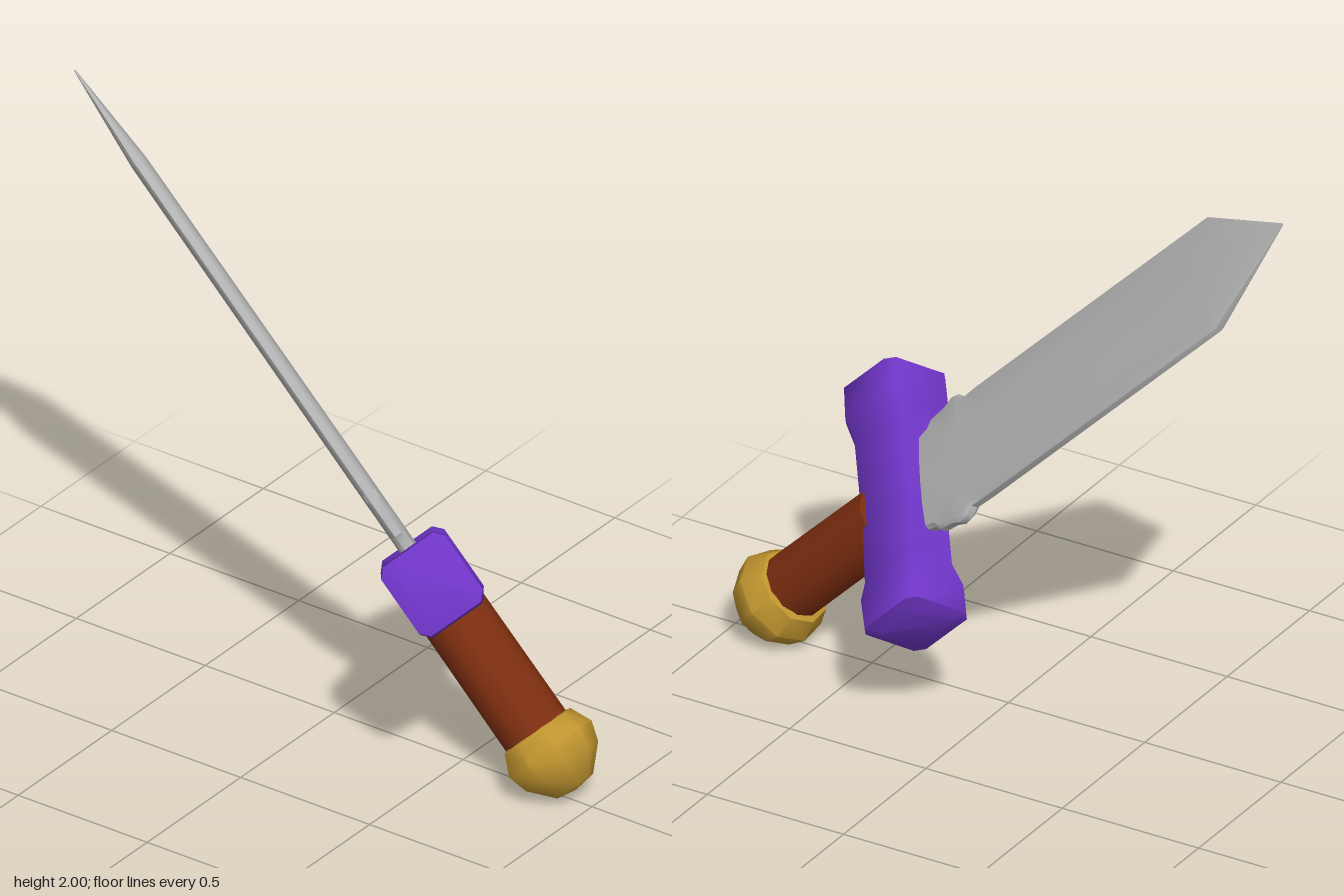
import * as THREE from 'three';
import { toCreasedNormals, mergeVertices } from 'three/addons/utils/BufferGeometryUtils.js';

// Skin a list of equal-length rings and close both ends with flat fans.
function loft(rings, crease) {
  const n = rings[0].length, pos = [], idx = [];
  rings.forEach(r => r.forEach(p => pos.push(...p)));
  for (let i = 0; i < rings.length - 1; i++) {
    for (let j = 0; j < n; j++) {
      const a = i * n + j, b = i * n + (j + 1) % n;
      idx.push(a, b, b + n, a, b + n, a + n);
    }
  }
  const last = (rings.length - 1) * n;
  for (let j = 1; j < n - 1; j++) {
    idx.push(0, j + 1, j);
    idx.push(last, last + j, last + j + 1);
  }
  const g = new THREE.BufferGeometry();
  g.setAttribute('position', new THREE.Float32BufferAttribute(pos, 3));
  g.setIndex(idx);
  return toCreasedNormals(g, crease);
}

export function createModel() {
  const material = (name, color) => {
    const m = new THREE.MeshStandardMaterial({ color });
    m.name = name;
    return m;
  };
  const steel = material('steel', 0xb4b4b4);
  const purple = material('purple', 0x6f35c6);
  const brown = material('brown', 0x7d2e10);
  const gold = material('gold', 0xbf942f);

  const sword = new THREE.Group();
  sword.name = 'sword';
  const add = (name, geometry, mat) => {
    const mesh = new THREE.Mesh(geometry, mat);
    mesh.name = name;
    sword.add(mesh);
    return mesh;
  };

  // Blade: [height, half width, half thickness], ragged at the root, pointed at the tip
  const bladeRows = [
    [0.05, 0.15, 0.03], [0.12, 0.17, 0.03], [0.17, 0.185, 0.03], [0.19, 0.205, 0.03],
    [0.25, 0.212, 0.03], [0.29, 0.228, 0.03], [0.325, 0.222, 0.03], [0.35, 0.2, 0.03],
    [0.42, 0.203, 0.03], [1.615, 0.205, 0.028], [1.968, 0.003, 0.003],
  ];
  const bladeSection = [
    [0, 1], [0.5, 0.95], [0.93, 0.75], [1, 0.4], [1, -0.4], [0.93, -0.75], [0.5, -0.95],
    [0, -1], [-0.5, -0.95], [-0.93, -0.75], [-1, -0.4], [-1, 0.4], [-0.93, 0.75], [-0.5, 0.95],
  ];
  add('blade', loft(bladeRows.map(([y, w, d]) =>
    bladeSection.map(([x, z]) => [x * w - 0.013, y, z * d])), 0.6), steel);

  // Crossguard: [x, half height, half depth, height offset], flared block at each end
  const guardRows = [
    [-0.465, 0.09, 0.08, 0], [-0.445, 0.132, 0.122, 0], [-0.34, 0.138, 0.122, 0],
    [-0.26, 0.128, 0.095, 0], [0, 0.127, 0.088, 0], [0.26, 0.128, 0.095, 0],
    [0.34, 0.138, 0.122, 0.012], [0.445, 0.135, 0.122, 0.018], [0.465, 0.09, 0.08, 0.018],
  ];
  const c = 0.78;
  const guardSection = [[1, -c], [1, c], [c, 1], [-c, 1], [-1, c], [-1, -c], [-c, -1], [c, -1]];
  add('crossguard', loft(guardRows.map(([x, h, d, o]) =>
    guardSection.map(([y, z]) => [x, y * h + o, z * d])), 0.85), purple);

  // Grip
  const grip = add('grip', new THREE.CylinderGeometry(0.112, 0.114, 0.52, 12), brown);
  grip.position.y = -0.34;

  // Pommel: chunky rounded knob
  const knob = [
    [0, -0.785], [0.07, -0.775], [0.142, -0.7], [0.162, -0.635], [0.13, -0.565], [0.09, -0.555], [0, -0.555],
  ].map(([r, y]) => new THREE.Vector2(r, y));
  const knobGeometry = new THREE.LatheGeometry(knob, 9);
  knobGeometry.deleteAttribute('uv');
  knobGeometry.deleteAttribute('normal');
  const pommel = add('pommel', toCreasedNormals(mergeVertices(knobGeometry), 0.8), gold);
  pommel.position.x = 0.005;

  // Lean the sword back 45 degrees and turn it 45 degrees about its own length
  const s = Math.SQRT1_2;
  const pose = new THREE.Matrix4().makeBasis(
    new THREE.Vector3(s, -0.5, -0.5), new THREE.Vector3(0, s, -s), new THREE.Vector3(s, 0.5, 0.5));
  sword.quaternion.setFromRotationMatrix(pose);
  sword.position.set(0, 0.6, 0.385);

  const model = new THREE.Group();
  model.name = 'model';
  model.add(sword);
  return model;
}
